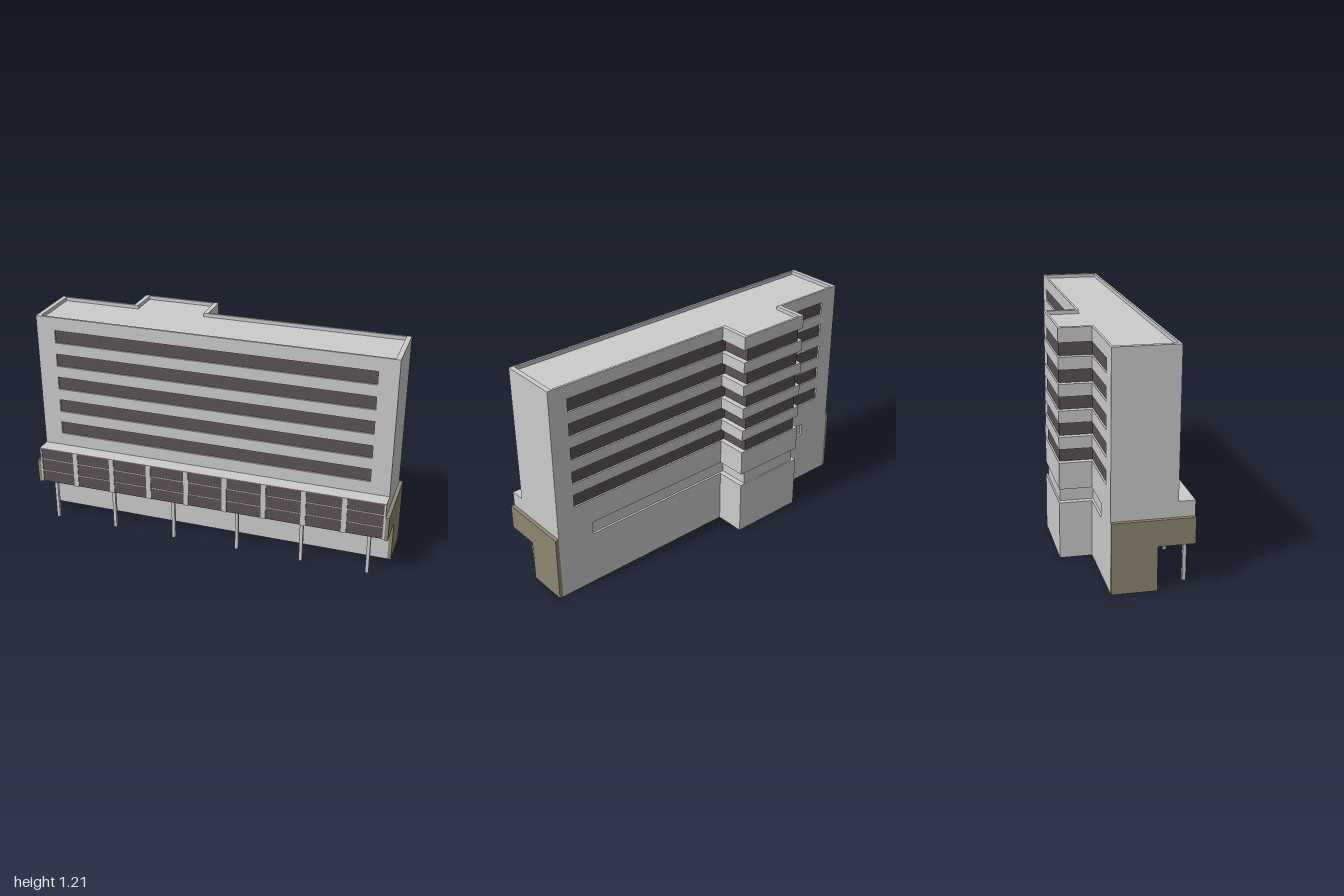
import * as THREE from 'three';

const concrete = new THREE.MeshStandardMaterial({ color: 0xcccccc });
const glass = new THREE.MeshStandardMaterial({ color: 0x5b5154 });
const olive = new THREE.MeshStandardMaterial({ color: 0x8d866e });

const FLOORS = [0.515, 0.651, 0.787, 0.923, 1.059]; // window sill heights
const WIN_H = 0.072, TOP = 1.205, ROOF = 1.185;
const CORE = [-0.545, -0.115];

export function createModel() {
  const model = new THREE.Group();

  const add = (name, geo, mat) => {
    const mesh = new THREE.Mesh(geo, mat);
    mesh.name = name;
    model.add(mesh);
    return mesh;
  };
  // Box given by its extents
  const block = (name, mat, x0, x1, y0, y1, z0, z1) => {
    const geo = new THREE.BoxGeometry(x1 - x0, y1 - y0, z1 - z0);
    geo.translate((x0 + x1) / 2, (y0 + y1) / 2, (z0 + z1) / 2);
    return add(name, geo, mat);
  };
  const poly = (pts) => pts.map(([x, y]) => new THREE.Vector2(x, y));
  const rect = (x0, x1, y0, y1) => new THREE.Path(poly([[x0, y0], [x0, y1], [x1, y1], [x1, y0]]));
  // Wall with window openings, extruded from z0 to z1
  const wall = (name, outline, holes, z0, z1) => {
    const shape = new THREE.Shape(poly(outline));
    shape.holes = holes;
    const geo = new THREE.ExtrudeGeometry(shape, { depth: z1 - z0, bevelEnabled: false });
    geo.translate(0, 0, z0);
    return add(name, geo, concrete);
  };
  const openings = () => FLOORS.map((y) => rect(-0.875, 0.875, y, y + WIN_H));

  // Tower body, ground floor and overhanging podium
  block('towerBody', concrete, -0.98, 0.98, 0.445, ROOF, -0.11, 0.195);
  block('groundFloor', concrete, -0.98, 0.98, 0, 0.235, -0.11, 0.105);
  block('podium', concrete, -0.98, 0.98, 0.235, 0.445, -0.11, 0.28);

  // Front and back walls with strip windows; they rise above the roof as a parapet
  wall('frontWall', [[-0.98, 0.445], [0.98, 0.445], [0.98, TOP], [-0.98, TOP]], openings(), 0.195, 0.207);
  wall('backWall', [
    [-0.98, 0], [0.98, 0], [0.98, TOP], [-0.14, TOP], [-0.14, ROOF], [-0.52, ROOF], [-0.52, TOP], [-0.98, TOP],
  ], [...openings(), rect(-0.77, 0.77, 0.302, 0.375)], -0.122, -0.11);
  for (const y of FLOORS) {
    block('frontWindow', glass, -0.875, 0.875, y, y + WIN_H, 0.19, 0.198);
    block('backWindow', glass, -0.875, 0.875, y, y + WIN_H, -0.113, -0.105);
  }
  for (const s of [-1, 1]) {
    const x = s * 0.967;
    block('sideParapet', concrete, x - 0.013, x + 0.013, ROOF, TOP, -0.11, 0.195);
  }

  // Stair core at the back: solid bands alternating with recessed bands
  const [cx0, cx1] = CORE;
  const band = (y0, y1) => block('coreBand', concrete, cx0, cx1, y0, y1, -0.29, -0.115);
  const recess = (name, mat, y0, y1) => block(name, mat, cx0 + 0.03, cx1 - 0.03, y0, y1, -0.282, -0.105);
  band(0, 0.302);
  recess('coreRecess', concrete, 0.302, 0.375);
  band(0.375, FLOORS[0]);
  FLOORS.forEach((y, i) => {
    recess('coreWindow', glass, y, y + WIN_H);
    band(y + WIN_H, i < 4 ? FLOORS[i + 1] : ROOF);
  });
  block('coreParapetBack', concrete, cx0, cx1, ROOF, TOP, -0.29, -0.278);
  block('coreParapetRight', concrete, cx0, cx0 + 0.025, ROOF, TOP, -0.278, -0.115);
  block('coreParapetLeft', concrete, cx1 - 0.025, cx1, ROOF, TOP, -0.278, -0.115);

  // Podium glazing: nine bays between mullions, each with two thin rails
  const pitch = 0.2185;
  for (let i = 0; i < 9; i++) {
    const x = (i - 4) * pitch;
    block('podiumGlass', glass, x - 0.096, x + 0.096, 0.236, 0.442, 0.275, 0.286);
    for (const y of [0.305, 0.378]) {
      block('glazingRail', concrete, x - 0.096, x + 0.096, y - 0.002, y + 0.002, 0.28, 0.288);
    }
    if (i < 8) {
      const m = x + pitch / 2;
      block('mullion', concrete, m - 0.0133, m + 0.0133, 0.235, 0.445, 0.275, 0.29);
    }
  }
  for (const s of [-1, 1]) {
    block('podiumEnd', concrete, s * 0.975 - 0.005, s * 0.975 + 0.005, 0.235, 0.445, 0.275, 0.29);
  }
  block('podiumTopEdge', concrete, -0.98, 0.98, 0.442, 0.445, 0.27, 0.29);

  // L-shaped cladding on both ends
  const ell = new THREE.Shape(poly([
    [-0.122, 0], [0.105, 0], [0.105, 0.23], [0.29, 0.23], [0.29, 0.365], [-0.122, 0.365],
  ]));
  for (const s of [-1, 1]) {
    const geo = new THREE.ExtrudeGeometry(ell, { depth: 0.02, bevelEnabled: false });
    geo.rotateY(-Math.PI / 2);
    geo.translate(s > 0 ? 1 : -0.98, 0, 0);
    add(s > 0 ? 'leftCladding' : 'rightCladding', geo, olive);
  }

  // Slim columns under the podium
  for (const x of [-0.905, -0.548, -0.193, 0.175, 0.537, 0.9]) {
    block('column', concrete, x - 0.009, x + 0.009, 0, 0.235, 0.253, 0.271);
  }

  return model;
}
